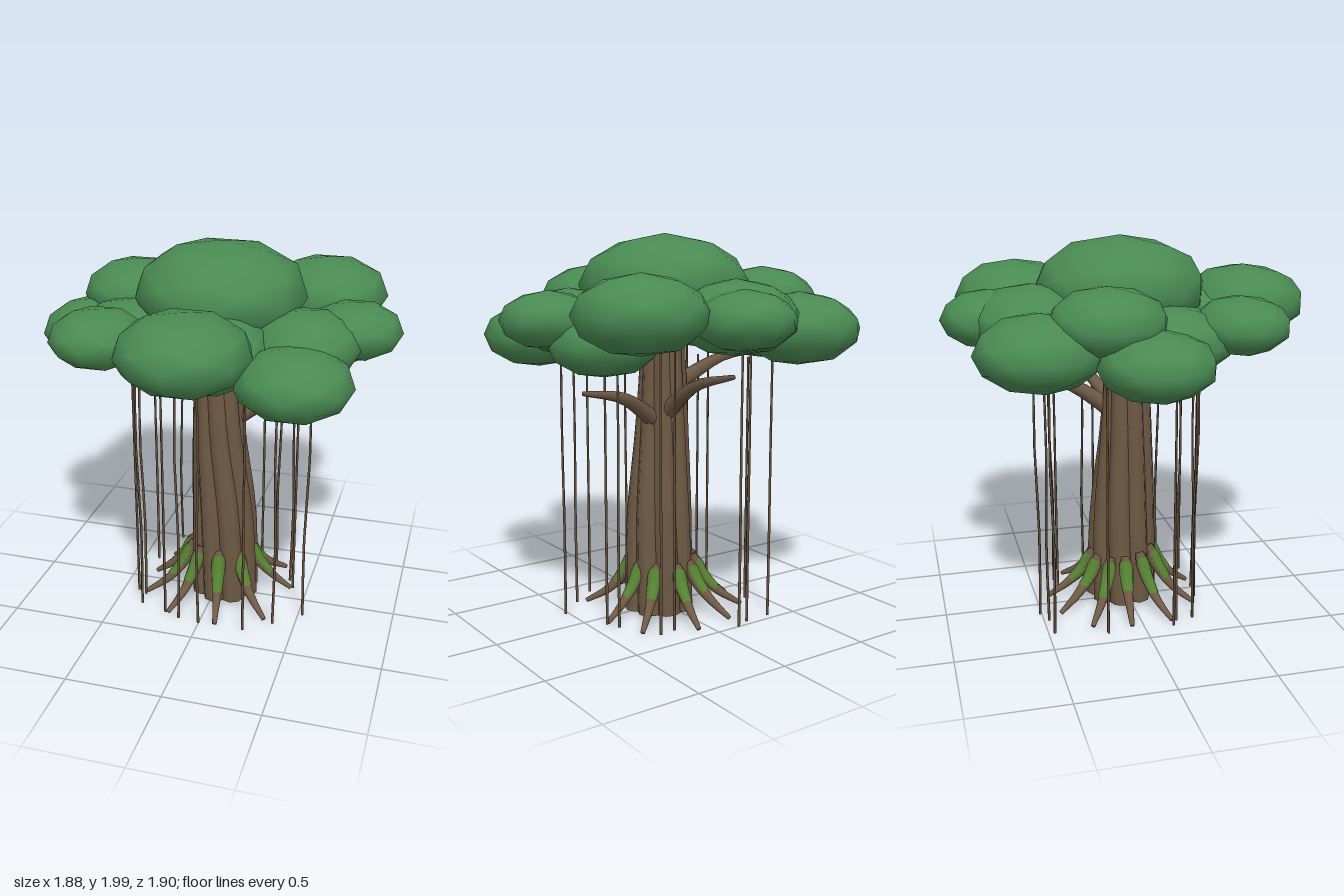
import * as THREE from 'three';

const V = (x, y, z) => new THREE.Vector3(x, y, z);

// Capped tube along points, with radius given by a function of t (0..1)
function taperedTube(points, radiusAt, segs, sides) {
  const curve = new THREE.CatmullRomCurve3(points.map(p => V(...p)));
  const tube = new THREE.TubeGeometry(curve, segs, 1, sides);
  const old = tube.attributes.position, oldN = tube.attributes.normal;
  const pos = [], nor = [], index = Array.from(tube.index.array);
  for (let i = 0; i <= segs; i++) {
    const c = curve.getPointAt(i / segs), r = radiusAt(i / segs);
    for (let j = 0; j <= sides; j++) {
      const k = i * (sides + 1) + j;
      pos.push(...V(old.getX(k), old.getY(k), old.getZ(k)).sub(c).multiplyScalar(r).add(c).toArray());
      nor.push(oldN.getX(k), oldN.getY(k), oldN.getZ(k));
    }
  }
  const a = pos.length / 3, last = segs * (sides + 1);
  pos.push(...curve.getPointAt(0).toArray(), ...curve.getPointAt(1).toArray());
  nor.push(...curve.getTangentAt(0).negate().toArray(), ...curve.getTangentAt(1).toArray());
  // Pick the cap winding that faces outward
  const p = k => V(pos[3 * k], pos[3 * k + 1], pos[3 * k + 2]);
  const n = k => V(nor[3 * k], nor[3 * k + 1], nor[3 * k + 2]);
  for (const [centre, start] of [[a, 0], [a + 1, last]]) {
    for (let j = 0; j < sides; j++) {
      const u = start + j, v = u + 1;
      const face = p(u).sub(p(centre)).cross(p(v).sub(p(centre)));
      if (face.dot(n(centre)) > 0) index.push(centre, u, v);
      else index.push(centre, v, u);
    }
  }
  const g = new THREE.BufferGeometry();
  g.setAttribute('position', new THREE.Float32BufferAttribute(pos, 3));
  g.setAttribute('normal', new THREE.Float32BufferAttribute(nor, 3));
  g.setIndex(index);
  return g;
}

// Keep only the faces that look upward and lie within a stretch of the tube
function upperFaces(g, from, to) {
  const keep = [], n = g.attributes.normal, idx = g.index.array;
  for (let i = from; i < to; i += 3) {
    const up = (n.getY(idx[i]) + n.getY(idx[i + 1]) + n.getY(idx[i + 2])) / 3;
    if (up > 0.05) keep.push(idx[i], idx[i + 1], idx[i + 2]);
  }
  g.setIndex(keep);
  return g;
}

export function createModel() {
  const tree = new THREE.Group();
  tree.name = 'tree';
  const material = (name, color, extra = {}) => {
    const m = new THREE.MeshStandardMaterial({ color, ...extra });
    m.name = name;
    return m;
  };
  const bark = material('bark', 0x6f5a45);
  const hanging = material('hanging root brown', 0x65513e);
  const moss = material('moss', 0x568232, { side: THREE.DoubleSide });
  const leaf = material('leaf green', 0x4a8b53);

  const group = name => {
    const g = new THREE.Group();
    g.name = name;
    tree.add(g);
    return g;
  };
  const add = (parent, name, geometry, mat) => {
    const m = new THREE.Mesh(geometry, mat);
    m.name = name;
    parent.add(m);
    return m;
  };

  // Trunk: a core wrapped in slightly twisting, merging stems
  const trunk = group('trunk');
  add(trunk, 'trunkCore', taperedTube(
    [[0.04, 0.02, -0.025], [0.03, 0.7, -0.01], [0, 1.52, 0]], t => 0.14 - 0.05 * t, 6, 12), bark);
  const stems = 8;
  for (let i = 0; i < stems; i++) {
    const a = (i / stems) * Math.PI * 2 + 0.2;
    const at = (y, r, twist, cx, cz) => [cx + r * Math.cos(a + twist), y, cz + r * Math.sin(a + twist)];
    add(trunk, 'trunkStem', taperedTube([
      at(0.02, 0.125, 0, 0.045, -0.025), at(0.5, 0.118, 0.15, 0.04, -0.02),
      at(1.0, 0.086, 0.32, 0.012, -0.005), at(1.52, 0.062, 0.5, 0, 0)
    ], t => 0.066 - 0.016 * t, 10, 8), bark);
  }

  // Branches reaching into the crown
  const branches = group('branches');
  [
    [[0.05, 1.03, -0.03], [0.14, 1.09, -0.05], [0.34, 1.2, -0.13], [0.6, 1.255, -0.2]],
    [[0.03, 1.04, -0.03], [0.03, 1.13, -0.13], [0.04, 1.26, -0.34], [0.04, 1.34, -0.64]],
    [[-0.04, 1.2, 0], [-0.15, 1.27, -0.04], [-0.3, 1.36, -0.11], [-0.48, 1.39, -0.19]],
    [[0.02, 1.27, 0.03], [-0.04, 1.36, 0.09], [-0.12, 1.45, 0.2], [-0.2, 1.52, 0.34]]
  ].forEach(p => add(branches, 'branch', taperedTube(p, t => 0.052 - 0.04 * t, 8, 8), bark));

  // Flaring surface roots, at uneven bearings, with a moss patch on the upper side
  const roots = group('roots');
  const segs = 14, sides = 10, ring = sides * 6;
  [-30, 10, 48, 99, 131, 172, 204, 236, 265, 296].forEach((degrees, i) => {
    const a = THREE.MathUtils.degToRad(degrees);
    const top = 0.31 + 0.02 * Math.cos(a), reach = 0.41 + 0.015 * Math.sin(i * 3.7);
    const at = (r, y) => [0.02 + r * Math.sin(a), y, -0.03 + r * Math.cos(a)];
    const path = [at(0.155, top), at(0.21, top * 0.64), at(0.295, 0.1), at(reach, 0.022)];
    const radius = t => 0.043 * Math.min(1, 0.5 + 3 * t) * (1 - 0.72 * t);
    add(roots, 'root', taperedTube(path, radius, segs, sides), bark);
    add(roots, 'rootMoss', upperFaces(
      taperedTube(path, t => radius(t) + 0.003, segs, sides), ring, ring * (7 + (i % 2))), moss);
  });

  // Thin aerial roots hanging from the crown: x, z, top height
  const aerial = group('aerialRoots');
  [
    [-0.41, 0.15, 1.35], [-0.36, 0.18, 1.34], [-0.345, -0.47, 1.4], [-0.2, 0.32, 1.42],
    [-0.115, 0.355, 1.42], [0, 0.37, 1.42], [0.245, 0.37, 1.42], [0.385, 0.27, 1.4],
    [0.525, 0.15, 1.42], [0.42, -0.1, 1.4], [0.39, -0.17, 1.42], [0.27, -0.37, 1.45],
    [0.18, -0.36, 1.45], [-0.2, -0.475, 1.42], [-0.12, -0.51, 1.42], [-0.41, -0.2, 1.36],
    [-0.35, 0.27, 1.42]
  ].forEach(([x, z, top], i) => {
    const w = 0.006 * Math.sin(i * 2.1);
    add(aerial, 'aerialRoot', taperedTube(
      [[x, 0.018, z], [x + w, 0.5, z - w], [x - w, 0.95, z + w], [x, top, z]], t => 0.0075 - 0.0015 * t, 6, 5), hanging);
  });

  // Crown: flattened leaf clumps as x, y, z, radius
  const crown = group('crown');
  const clump = new THREE.IcosahedronGeometry(1, 1);
  [
    [0.015, 1.746, -0.035, 0.443], [0.015, 1.645, 0.625, 0.325], [-0.46, 1.615, 0.45, 0.245],
    [0.49, 1.48, 0.445, 0.29], [0.695, 1.6, -0.045, 0.24], [0.475, 1.645, -0.51, 0.325],
    [0.025, 1.61, -0.7, 0.25], [-0.46, 1.535, -0.53, 0.315], [-0.485, 1.665, -0.21, 0.29],
    [-0.655, 1.49, -0.02, 0.285], [0.48, 1.57, 0.14, 0.285], [-0.08, 1.605, -0.5, 0.32],
    [-0.41, 1.545, 0.13, 0.29], [0.5, 1.49, -0.23, 0.275], [0.04, 1.56, 0.35, 0.33]
  ].forEach(([x, y, z, r]) => {
    const m = add(crown, 'leafClump', clump, leaf);
    m.position.set(x, y, z);
    m.scale.set(r, r * 0.585, r);
  });

  return tree;
}
